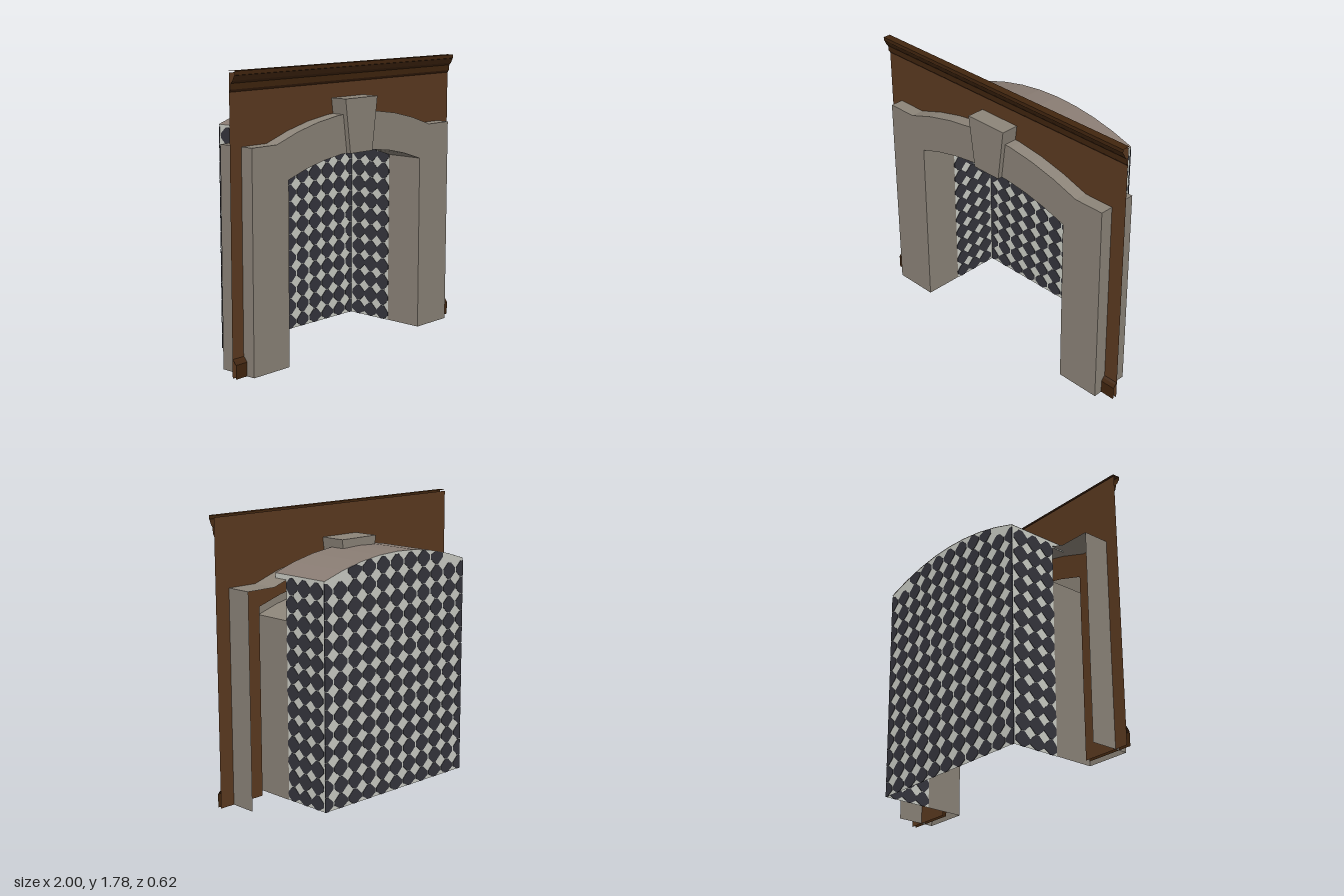
import * as THREE from 'three';

const material = (name, color) =>
  new THREE.MeshStandardMaterial({ name, color, side: THREE.DoubleSide });

// Parabolic arch height at x, for a given crown height, rise and half span
const arch = (crown, rise, half) => x => crown - rise * (x / half) ** 2;
const outerArch = arch(1.48, 0.135, 0.705);
const innerArch = arch(1.24, 0.11, 0.61);
const vaultArch = arch(1.52, 0.11, 0.61);
const wallArch = arch(1.32, 0.12, 0.67);

function archPoints(fn, half, steps = 8) {
  const pts = [];
  for (let i = 0; i <= steps; i++) {
    const x = -half + (2 * half * i) / steps;
    pts.push([x, fn(x)]);
  }
  return pts;
}

// Faceted open strip running between two copies of a line of points
function ribbon(points, start, end) {
  const pos = [];
  for (let i = 0; i < points.length - 1; i++) {
    const a = start(points[i]), b = start(points[i + 1]);
    const c = end(points[i + 1]), d = end(points[i]);
    pos.push(...a, ...c, ...b, ...a, ...d, ...c);
  }
  const g = new THREE.BufferGeometry();
  g.setAttribute('position', new THREE.Float32BufferAttribute(pos, 3));
  g.computeVertexNormals();
  return g;
}
const alongZ = (pts, z0, z1) => ribbon(pts, p => [p[0], p[1], z0], p => [p[0], p[1], z1]);
// Profile points are [z, y]
const alongX = (pts, x0, x1) => ribbon(pts, p => [x0, p[1], p[0]], p => [x1, p[1], p[0]]);

const shapeOf = pts => new THREE.Shape(pts.map(p => new THREE.Vector2(p[0], p[1])));

// Grid of dark tiles with clipped tips, kept inside the panel
function tiles(us, u0, u1, topAt) {
  const shapes = [];
  const w = 0.055, h = 0.052, t = 0.013;
  const outline = [[w, -t], [w, t], [t, h], [-t, h], [-w, t], [-w, -t], [-t, -h], [t, -h]];
  for (const u of us) {
    for (let row = 0; row < 14; row++) {
      const v = 0.04 + row * 0.1085;
      if (v > topAt(u) - 0.01) continue;
      shapes.push(shapeOf(outline.map(([du, dv]) => {
        const x = Math.min(u1, Math.max(u0, u + du));
        return [x, Math.min(topAt(x), Math.max(0, v + dv))];
      })));
    }
  }
  return new THREE.ExtrudeGeometry(shapes, { depth: 0.006, bevelEnabled: false });
}

export function createModel() {
  const model = new THREE.Group();
  model.name = 'archedAlcove';

  const stone = material('stone', 0x8c8479);
  const vaultStone = material('vaultStone', 0x897c73);
  const lightTile = material('lightTile', 0xcccec6);
  const darkTile = material('darkTile', 0x35353d);
  const wood = material('woodPanel', 0x5c3a20);
  const darkWood = material('darkWoodTrim', 0x42260f);

  const add = (parent, name, geometry, mat) => {
    const mesh = new THREE.Mesh(geometry, mat);
    mesh.name = name;
    parent.add(mesh);
    return mesh;
  };

  // Wood wall with an arched opening
  const wallZ = 0.195;
  const wallShape = shapeOf([
    [-1, 0], [-0.67, 0], ...archPoints(wallArch, 0.67), [0.67, 0], [1, 0], [1, 1.77], [-1, 1.77],
  ]);
  add(model, 'wallPanel', new THREE.ShapeGeometry(wallShape), wood).position.z = wallZ;

  // Crown moulding and baseboards
  add(model, 'crownMoulding', alongX([
    [wallZ, 1.66], [0.206, 1.675], [0.209, 1.71], [0.222, 1.725], [0.236, 1.755],
    [0.24, 1.757], [0.24, 1.78], [0.19, 1.78],
  ], -1, 1), darkWood);
  for (const s of [-1, 1]) {
    add(model, 'baseboard', alongX([
      [0.222, 0], [0.222, 0.085], [0.208, 0.105], [wallZ, 0.115],
    ], s * 0.67, s), darkWood);
  }

  // Hollow stone surround: front face, outer edge and inner reveal
  const surround = new THREE.Group();
  surround.name = 'stoneSurround';
  surround.position.x = -0.005;
  model.add(surround);
  const outer = [
    [-0.905, 0], [-0.905, 1.345], ...archPoints(outerArch, 0.705), [0.905, 1.345], [0.905, 0],
  ];
  const inner = [[-0.61, 0], ...archPoints(innerArch, 0.61), [0.61, 0]];
  const face = shapeOf([...outer, ...inner.slice().reverse()]);
  add(surround, 'surroundFace', new THREE.ShapeGeometry(face), stone).position.z = 0.28;
  add(surround, 'surroundOuterEdge', alongZ(outer, 0.02, 0.28), stone);
  add(surround, 'surroundReveal', alongZ(inner, 0.02, 0.28), stone);

  // Tapered keystone
  const key = shapeOf([[-0.102, 1.235], [0.102, 1.235], [0.147, 1.57], [-0.147, 1.57]]);
  add(surround, 'keystone',
    new THREE.ExtrudeGeometry(key, { depth: 0.29, bevelEnabled: false }), stone).position.z = 0.02;

  // Tiled alcove behind the opening
  const alcove = new THREE.Group();
  alcove.name = 'tiledAlcove';
  alcove.position.x = -0.005;
  model.add(alcove);
  const vaultLine = archPoints(vaultArch, 0.61);
  const backZ = -0.306;
  const back = shapeOf([[-0.61, 0], [0.61, 0], ...vaultLine.slice().reverse()]);
  add(alcove, 'backWall', new THREE.ShapeGeometry(back), lightTile).position.z = backZ;
  const columns = Array.from({ length: 11 }, (_, i) => (i - 5) * 0.12);
  add(alcove, 'backWallTiles', tiles(columns, -0.61, 0.61, x => vaultArch(x) - 0.004), darkTile)
    .position.z = backZ - 0.003;
  add(alcove, 'vault', alongZ(vaultLine, -0.31, 0.12), vaultStone);

  // Side walls, drawn in (-z, y) and turned to face sideways
  const sideShape = shapeOf([
    [-0.025, 0], [0.306, 0], [0.306, 1.41], [-0.12, 1.41], [-0.12, 1.37], [-0.025, 1.37],
  ]);
  for (const s of [-1, 1]) {
    const side = new THREE.Group();
    side.name = 'sideWall';
    side.rotation.y = Math.PI / 2;
    side.position.x = s * 0.607;
    alcove.add(side);
    add(side, 'sidePanel', new THREE.ShapeGeometry(sideShape), lightTile);
    add(side, 'sideTiles', tiles([0.022, 0.13, 0.238], -0.025, 0.306, () => 1.4), darkTile)
      .position.z = -0.003;
  }

  return model;
}
